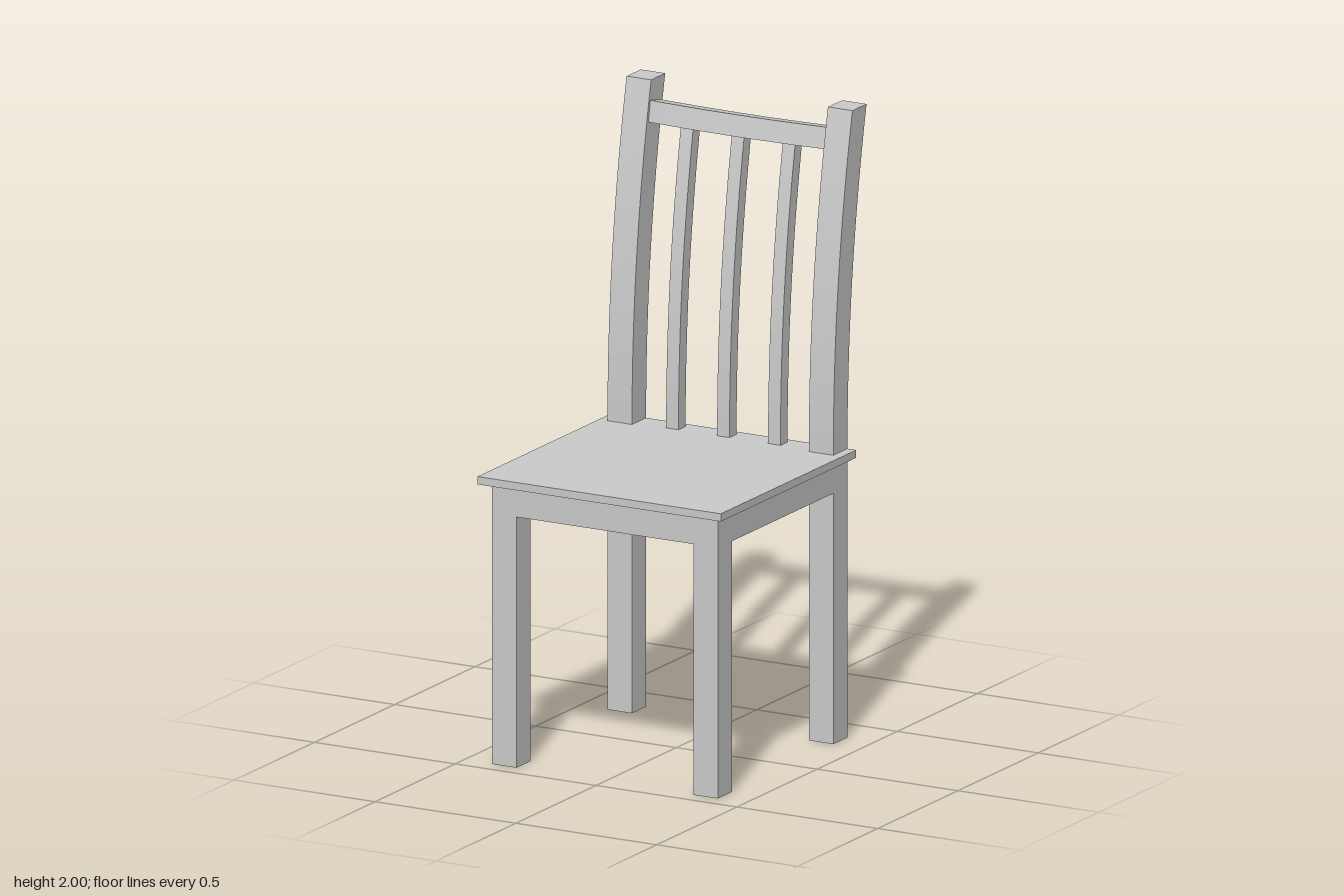
import * as THREE from 'three';

const material = new THREE.MeshStandardMaterial({ color: 0xcccccc });
const SEAT_TOP = 0.925, TOP = 2, BACK = -0.363;

// Backward sweep of the backrest at height y
const lean = (y) => -0.119 * Math.max(0, (y - SEAT_TOP) / (TOP - SEAT_TOP)) ** 2;

// Box given by its min/max corners, with optional segments along x and y
function block([x0, x1], [y0, y1], [z0, z1], segX = 1, segY = 1) {
  const geo = new THREE.BoxGeometry(x1 - x0, y1 - y0, z1 - z0, segX, segY, 1);
  return geo.translate((x0 + x1) / 2, (y0 + y1) / 2, (z0 + z1) / 2);
}

// Moves every vertex by a rule, keeping the box edges sharp
function bend(geo, rule) {
  const pos = geo.attributes.position;
  const v = new THREE.Vector3();
  for (let i = 0; i < pos.count; i++) {
    rule(v.fromBufferAttribute(pos, i));
    pos.setXYZ(i, v.x, v.y, v.z);
  }
  geo.computeVertexNormals();
  return geo;
}

export function createModel() {
  const chair = new THREE.Group();
  chair.name = 'chair';
  const add = (name, geo) => {
    const mesh = new THREE.Mesh(geo, material);
    mesh.name = name;
    chair.add(mesh);
  };
  const leanBack = (v) => { v.z += lean(v.y); };

  // Seat board and the solid frame under it
  add('seat', block([-0.432, 0.432], [0.9, SEAT_TOP], [BACK, 0.481]));
  add('seatFrame', block([-0.401, 0.401], [0.803, 0.9], [BACK, 0.445]));

  // Legs and curved back posts, mirrored left and right
  for (const [side, xs] of [['left', [0.314, 0.401]], ['right', [-0.401, -0.314]]]) {
    add(side + 'FrontLeg', block(xs, [0, 0.803], [0.358, 0.445]));
    add(side + 'BackLeg', block(xs, [0, 0.803], [BACK, -0.275]));
    add(side + 'BackPost', bend(block(xs, [SEAT_TOP, TOP], [BACK, -0.275], 1, 16), leanBack));
  }

  // Three slim slats following the same curve
  for (const x of [-0.181, 0, 0.181]) {
    add('backSlat', bend(block([x - 0.022, x + 0.022], [SEAT_TOP, 1.885], [-0.337, -0.293], 1, 16), leanBack));
  }

  // Top rail: tilted back and bowed gently forward in the middle
  const rail = block([-0.316, 0.316], [-0.034, 0.034], [-0.033, 0.033], 16, 1);
  rail.rotateX(-0.19).translate(0, 1.896, -0.416);
  add('topRail', bend(rail, (v) => { v.z += 0.013 * (1 - (v.x / 0.316) ** 2); }));

  return chair;
}
